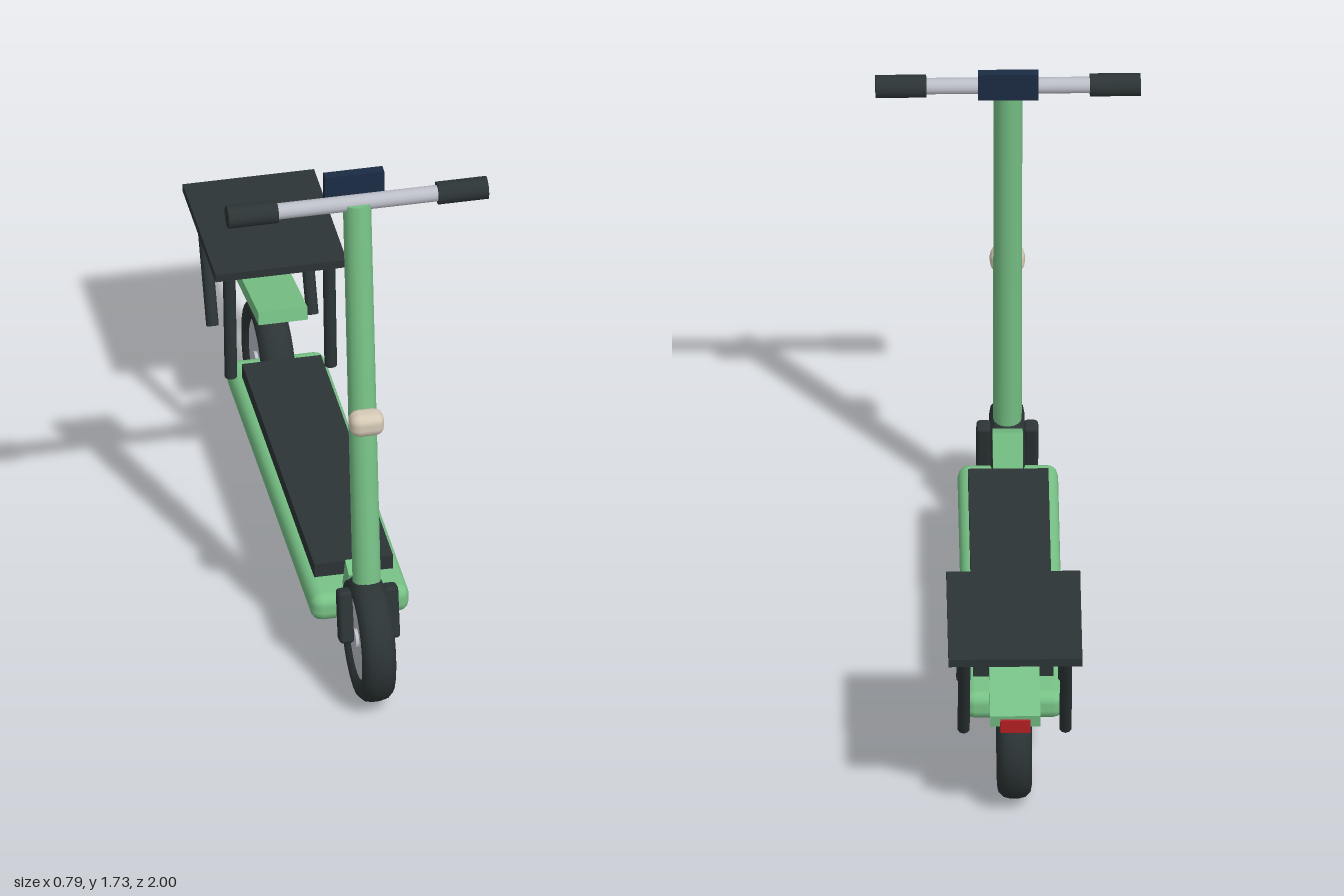
import * as THREE from 'three';
import { RoundedBoxGeometry } from 'three/addons/geometries/RoundedBoxGeometry.js';

const mat = (name, color) => Object.assign(new THREE.MeshStandardMaterial({ color }), { name });

export function createModel() {
  const green = mat('green paint', 0x78c387);
  const dark = mat('dark rubber', 0x2c3435);
  const silver = mat('silver metal', 0xbcbec8);
  const navy = mat('navy display', 0x1b2c44);
  const cream = mat('cream lamp', 0xd6cab6);
  const red = mat('red lamp', 0xb31f22);

  const model = new THREE.Group();
  model.name = 'scooter';

  const add = (name, geometry, material, x, y, z, tilt = 0, parent = model) => {
    const mesh = new THREE.Mesh(geometry, material);
    mesh.name = name;
    mesh.position.set(x, y, z);
    mesh.rotation.x = tilt;
    parent.add(mesh);
    return mesh;
  };
  const box = (w, h, d) => new THREE.BoxGeometry(w, h, d);
  const round = (w, h, d, r) => new RoundedBoxGeometry(w, h, d, 2, r);
  const axle = (r, w, n = 24) => new THREE.CylinderGeometry(r, r, w, n).rotateZ(Math.PI / 2);

  // Cylinder between two points
  const rod = (name, a, b, r, material, sides) => {
    const from = new THREE.Vector3(...a), to = new THREE.Vector3(...b);
    const dir = to.clone().sub(from);
    const mesh = add(name, new THREE.CylinderGeometry(r, r, dir.length(), sides), material, 0, 0, 0);
    mesh.position.copy(from).add(to).multiplyScalar(0.5);
    mesh.quaternion.setFromUnitVectors(new THREE.Vector3(0, 1, 0), dir.normalize());
  };

  // Wheels: tyre with rounded shoulders, hub disc and axle cap
  const tyreProfile = [
    [0.122, -0.03], [0.137, -0.045], [0.155, -0.052], [0.175, -0.048], [0.19, -0.032], [0.195, -0.012],
    [0.195, 0.012], [0.19, 0.032], [0.175, 0.048], [0.155, 0.052], [0.137, 0.045], [0.122, 0.03],
  ].map(([r, h]) => new THREE.Vector2(r, h));
  for (const [name, z] of [['frontWheel', 0.8], ['rearWheel', -0.695]]) {
    const wheel = new THREE.Group();
    wheel.name = name;
    wheel.position.set(0, 0.195, z);
    model.add(wheel);
    add('tyre', new THREE.LatheGeometry(tyreProfile, 24).rotateZ(Math.PI / 2), dark, 0, 0, 0, 0, wheel);
    add('hub', axle(0.127, 0.07), silver, 0, 0, 0, 0, wheel);
    add('axleCap', axle(0.03, 0.09, 16), silver, 0, 0, 0, 0, wheel);
  }

  // Deck, foot mat and battery
  add('deck', round(0.3, 0.092, 1.305, 0.035), green, 0, 0.23, 0.038);
  add('footMat', box(0.24, 0.06, 1.08), dark, 0, 0.292, 0.035);
  add('battery', round(0.21, 0.09, 0.755, 0.03), dark, 0, 0.14, 0.042);

  // Stem with its brace to the deck
  rod('stem', [0, 0.38, 0.766], [0, 1.65, 0.622], 0.043, green, 16);
  add('stemBrace', box(0.09, 0.15, 0.058), green, 0, 0.31, 0.668, 0.36);

  // Fork legs
  for (const s of [-1, 1]) {
    add('forkLeg', round(0.045, 0.168, 0.05, 0.012), dark, s * 0.07, 0.273, 0.786, -0.2);
  }

  // Handlebar, grips, display and headlight
  add('handlebar', axle(0.025, 0.6, 16), silver, 0, 1.648, 0.622);
  for (const s of [-1, 1]) {
    add('grip', axle(0.035, 0.152, 16), dark, s * 0.32, 1.648, 0.622);
  }
  add('display', box(0.18, 0.09, 0.03), navy, 0, 1.68, 0.574);
  add('headlight', round(0.105, 0.076, 0.075, 0.03), cream, 0, 0.946, 0.763);

  // Rear fender and tail light
  add('fender', box(0.15, 0.042, 0.491), green, 0, 0.452, -0.723, -0.176);
  add('tailLight', box(0.09, 0.042, 0.045), red, 0, 0.396, -0.953);

  // Luggage rack on four legs
  add('rackPlate', box(0.4, 0.026, 0.49), dark, 0, 0.638, -0.755);
  for (const s of [-1, 1]) {
    const x = s * 0.152;
    rod('rackFrontLeg', [x, 0.275, -0.515], [x, 0.635, -0.542], 0.019, dark, 10);
    rod('rackRearLeg', [x, 0.275, -0.79], [x, 0.635, -0.965], 0.019, dark, 10);
  }

  return model;
}
